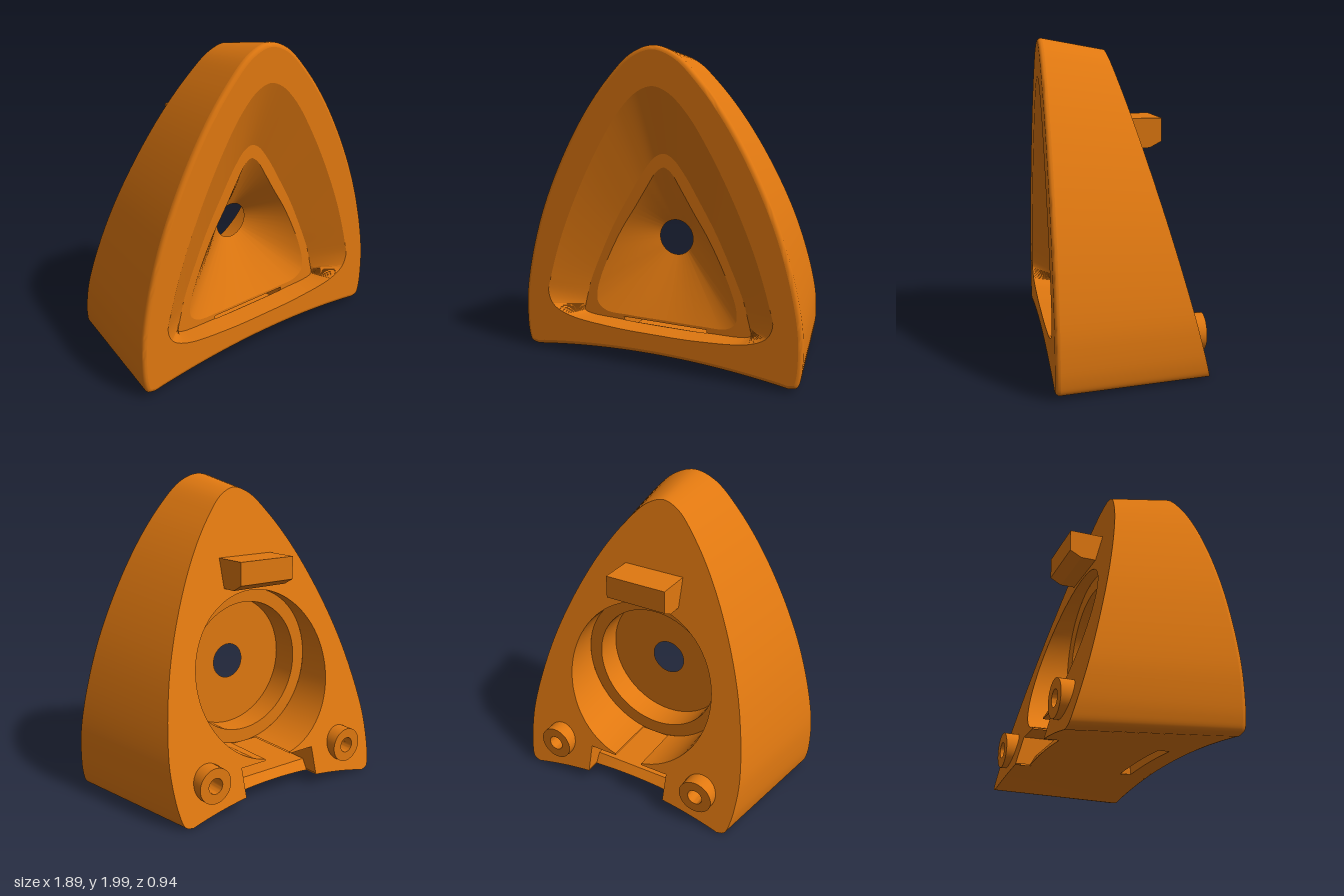
import * as THREE from 'three';
import { toCreasedNormals } from 'three/addons/utils/BufferGeometryUtils.js';

const V2 = (x, y) => new THREE.Vector2(x, y);
const FRONT = 0.47, DRAFT = 0.18, FILLET = 0.03;
const POCKET_Y = 0.77, POCKET_R = 0.52, LEDGE_Z = -0.045, FLOOR_Z = 0.13;
const SLOT_X = 0.29, SLOT_TOP = 0.25, SHELF_Z = 0.32;
const backZ = (y) => -0.47 + 0.27 * y; // sloping rear plane

// Smooth curve through a half profile and its mirror image
function mirroredCurve(half, closed) {
  const other = half.slice(closed ? 1 : 0, -1).reverse().map(([x, y]) => [-x, y]);
  const pts = [...half, ...other].map(([x, y]) => new THREE.Vector3(x, y, 0));
  return new THREE.CatmullRomCurve3(pts, closed);
}
const sample = (curve, n) => Array.from({ length: n }, (_, i) => curve.getPoint(i / n));

// Skin between successive rings of points
function loft(rings, closed = false, crease = 0.6) {
  const n = rings[0].length, pos = rings.flat().flatMap((p) => [p.x, p.y, p.z]), idx = [];
  for (let r = 0; r < rings.length - 1; r++) {
    for (let i = 0; i < (closed ? n : n - 1); i++) {
      const a = r * n + i, b = r * n + (i + 1) % n;
      idx.push(a, b, a + n, b, b + n, a + n);
    }
  }
  const g = new THREE.BufferGeometry();
  g.setAttribute('position', new THREE.Float32BufferAttribute(pos, 3));
  g.setIndex(idx);
  return toCreasedNormals(g, crease);
}

// Grid surface from a rule f(u, v)
function patch(f, nu = 1, nv = 1) {
  const rings = [];
  for (let j = 0; j <= nv; j++) {
    rings.push(Array.from({ length: nu + 1 }, (_, i) => new THREE.Vector3(...f(i / nu, j / nv))));
  }
  return loft(rings);
}
const lerp = THREE.MathUtils.lerp;

export function createModel() {
  const orange = new THREE.MeshStandardMaterial({ color: 0xe07810, side: THREE.DoubleSide });
  orange.name = 'orange';
  const model = new THREE.Group();
  model.name = 'archedHousing';
  const add = (name, geo) => {
    const m = new THREE.Mesh(geo, orange);
    m.name = name;
    model.add(m);
    return m;
  };

  // Outer outline: arched sides, then the hollow bottom edge
  const arch = mirroredCurve([[0.87, 0.02], [0.92, 0.035], [0.943, 0.1], [0.95, 0.3], [0.935, 0.45],
    [0.88, 0.7], [0.79, 0.98], [0.65, 1.29], [0.48, 1.58], [0.31, 1.8], [0.15, 1.95], [0, 2]], false);
  const N = 132;
  const side = Array.from({ length: N + 1 }, (_, i) => {
    const p = arch.getPoint(i / N), t = arch.getTangent(i / N);
    return { x: p.x, y: p.y, nx: t.y, ny: -t.x };
  });
  const halfBottom = (d) => 0.87 - DRAFT * d;
  const bottomY = (x, d) => 0.085 - (0.065 + 0.02 * d) * (x / halfBottom(d)) ** 2;
  const sidePoint = (s, d, inset = 0) => {
    const wx = s.y < 0.3 ? Math.sign(s.x) : s.nx;
    const drop = 0.02 * d * Math.max(0, (0.1 - s.y) / 0.08);
    return new THREE.Vector3(s.x - wx * DRAFT * d - s.nx * inset,
      s.y - Math.max(s.ny, 0) * DRAFT * d - drop - s.ny * inset, FRONT - d);
  };
  const M = 32;
  const bottomRing = (d, inset) => Array.from({ length: M - 1 }, (_, i) => {
    const x = halfBottom(d) * (2 * (i + 1) / M - 1);
    return new THREE.Vector3(x, bottomY(x, d) + inset, FRONT - d);
  });
  const fullRing = (d, inset) => [...side.map((s) => sidePoint(s, d, inset)), ...bottomRing(d, inset)];

  // Rounded front rim
  const rim = [0, 1, 2, 3, 4].map((k) => {
    const a = k * Math.PI / 8;
    return fullRing(FILLET * (1 - Math.sin(a)), FILLET * (1 - Math.cos(a)));
  });
  add('frontRim', loft(rim, true, 1));

  // Drafted side wall, cut off by the rear plane
  const backEdge = side.map((s) =>
    sidePoint(s, (0.94 - 0.27 * s.y) / (1 - 0.27 * DRAFT * Math.max(s.ny, 0))));
  backEdge.forEach((p) => { p.z = backZ(p.y); });
  add('sideWall', loft([side.map((s) => sidePoint(s, FILLET)), backEdge], false, 0.8));

  // Underside, with a slit near the front and a notch at the rear
  const under = (x0, x1, d0, d1) => patch((u, v) => {
    const dEnd = d1 ?? 0.925;
    const d = lerp(d0, dEnd, v);
    const x = lerp(x0, x1 ?? Math.sign(x0) * halfBottom(d), u), y = bottomY(x, d);
    return [x, y, d1 === undefined && v === 1 ? backZ(y) : FRONT - d];
  }, 14, 4);
  add('undersideLeft', under(SLOT_X, undefined, FILLET));
  add('undersideRight', under(-SLOT_X, undefined, FILLET));
  add('undersideFront', under(-SLOT_X, SLOT_X, FILLET, FRONT - SHELF_Z));
  add('undersideMiddle', under(-SLOT_X, SLOT_X, FRONT - 0.25, FRONT + 0.36));

  // Sloping back with the round pocket, rear notch and screw holes cut out
  const gap = Math.asin(0.1 / POCKET_R);
  const arc = Array.from({ length: 73 }, (_, i) => {
    const a = -Math.PI / 2 - gap - (2 * Math.PI - 2 * gap) * i / 72;
    return V2(POCKET_R * Math.cos(a), POCKET_Y + POCKET_R * Math.sin(a));
  });
  const yb = bottomY(SLOT_X, 0.92);
  const low = bottomRing(0.925, 0).map((p) => V2(p.x, p.y));
  const back = new THREE.Shape([
    ...backEdge.map((p) => V2(p.x, p.y)), ...low.filter((p) => p.x < -SLOT_X - 0.01),
    V2(-SLOT_X, yb), V2(-SLOT_X, SLOT_TOP), V2(-0.1, SLOT_TOP), ...arc,
    V2(0.1, SLOT_TOP), V2(SLOT_X, SLOT_TOP), V2(SLOT_X, yb), ...low.filter((p) => p.x > SLOT_X + 0.01)]);
  for (const s of [-1, 1]) back.holes.push(new THREE.Path().absarc(0.54 * s, 0.225, 0.05, 0, Math.PI * 2, true));
  const backGeo = new THREE.ShapeGeometry(back, 16);
  const bp = backGeo.attributes.position;
  for (let i = 0; i < bp.count; i++) bp.setZ(i, backZ(bp.getY(i)));
  backGeo.computeVertexNormals();
  add('backPanel', backGeo);

  // Stepped round pocket
  add('pocketWall', loft([arc.map((p) => new THREE.Vector3(p.x, p.y, backZ(p.y))),
    arc.map((p) => new THREE.Vector3(p.x, p.y, LEDGE_Z))]));
  add('pocketLedge', new THREE.RingGeometry(0.43, POCKET_R, 72)).position.set(0, POCKET_Y, LEDGE_Z);
  const inner = new THREE.CylinderGeometry(0.43, 0.43, FLOOR_Z - LEDGE_Z, 72, 1, true).rotateX(Math.PI / 2);
  add('pocketInnerWall', inner).position.set(0, POCKET_Y, (FLOOR_Z + LEDGE_Z) / 2);
  add('pocketFloor', new THREE.RingGeometry(0.115, 0.43, 72)).position.set(0, POCKET_Y, FLOOR_Z);

  // Front recess: opening, shelf outline and funnel mouth
  const at = (pts, z) => pts.map((p) => new THREE.Vector3(p.x, p.y, z));
  const opening = sample(mirroredCurve([[0, 1.76], [0.1, 1.725], [0.22, 1.61], [0.36, 1.4], [0.52, 1.1],
    [0.65, 0.8], [0.74, 0.52], [0.765, 0.4], [0.73, 0.32], [0.62, 0.265], [0.3, 0.23], [0, 0.225]], true), 176);
  const shelf = sample(mirroredCurve([[0, 1.34], [0.06, 1.315], [0.14, 1.22], [0.24, 1.06], [0.35, 0.87],
    [0.45, 0.66], [0.53, 0.47], [0.56, 0.36], [0.575, 0.3], [0.58, 0.255], [0.3, 0.23], [0, 0.225]], true), 176);
  const mouth = sample(mirroredCurve([[0, 1.255], [0.05, 1.225], [0.12, 1.12], [0.2, 0.99], [0.29, 0.85],
    [0.38, 0.68], [0.45, 0.52], [0.485, 0.4], [0.48, 0.32], [0.42, 0.275], [0.25, 0.267], [0, 0.267]], true), 176);
  const flat = (pts) => pts.map((p) => V2(p.x, p.y));

  const face = new THREE.Shape(flat(fullRing(0, FILLET)));
  face.holes.push(new THREE.Path(flat(opening)));
  add('frontFace', new THREE.ShapeGeometry(face)).position.z = FRONT;
  add('recessWall', loft([at(opening, FRONT), at(shelf, SHELF_Z)], true, 0.7));

  const inSlot = (p) => Math.abs(p.x) < SLOT_X && p.y < 0.24;
  const first = shelf.findIndex(inSlot);
  const shelfPts = flat(shelf.filter((p) => !inSlot(p)));
  shelfPts.splice(first, 0, V2(SLOT_X, 0.23), V2(SLOT_X, SLOT_TOP), V2(-SLOT_X, SLOT_TOP), V2(-SLOT_X, 0.23));
  const shelfShape = new THREE.Shape(shelfPts);
  shelfShape.holes.push(new THREE.Path(flat(mouth)));
  add('recessShelf', new THREE.ShapeGeometry(shelfShape)).position.z = SHELF_Z;

  // Funnel narrowing to the round through hole
  const centre = new THREE.Vector3(0, POCKET_Y, 0);
  const hole = mouth.map((p) => p.clone().sub(centre).setLength(0.115).add(centre));
  add('funnel', loft([at(mouth, SHELF_Z), at(hole, FLOOR_Z)], true, 0.9));

  // Flat slot running from the shelf to the rear notch
  const X = (u) => lerp(-SLOT_X, SLOT_X, u);
  add('slotFloor', patch((u, v) => [X(u), 0.14, lerp(-0.32, 0.25, v)]));
  add('slotLip', patch((u, v) => [X(u), lerp(bottomY(X(u), 0.83), 0.14, v), lerp(-0.36, -0.32, v)], 8));
  add('slitRearWall', patch((u, v) => [X(u), lerp(bottomY(X(u), 0.22), 0.14, v), 0.25], 8));
  add('slitFrontWall', patch((u, v) => [X(u), lerp(bottomY(X(u), 0.15), 0.227, v), SHELF_Z], 8));
  add('slotCeiling', patch((u, v) => [X(u), SLOT_TOP, lerp(LEDGE_Z, SHELF_Z, v)]));
  for (const s of [-1, 1]) {
    add('slotCeilingRear', patch((u, v) =>
      [s * lerp(0.1, SLOT_X, u), SLOT_TOP, lerp(backZ(SLOT_TOP), LEDGE_Z, v)]));
    add('slotSide', patch((u, v) => {
      const y = lerp(0.078, SLOT_TOP, v);
      return [s * SLOT_X, y, lerp(backZ(y), SHELF_Z, u)];
    }));

    // Screw bosses with blind holes
    const profile = [V2(0, 0.25), V2(0.05, 0.25), V2(0.05, 0.475), V2(0.113, 0.475), V2(0.113, 0.36)];
    const boss = toCreasedNormals(new THREE.LatheGeometry(profile, 40).rotateX(-Math.PI / 2), 0.5);
    add('screwBoss', boss).position.set(0.54 * s, 0.225, 0);
  }

  // Chamfered hook on the upper back
  const hook = new THREE.Shape([V2(0.04, 1.505), V2(0.285, 1.505), V2(0.285, 1.36), V2(0.21, 1.32), V2(0.08, 1.32)]);
  const hookGeo = new THREE.ExtrudeGeometry(hook, { depth: 0.41, bevelEnabled: false });
  add('hook', hookGeo.translate(0, 0, -0.205).rotateY(Math.PI / 2));

  return model;
}
